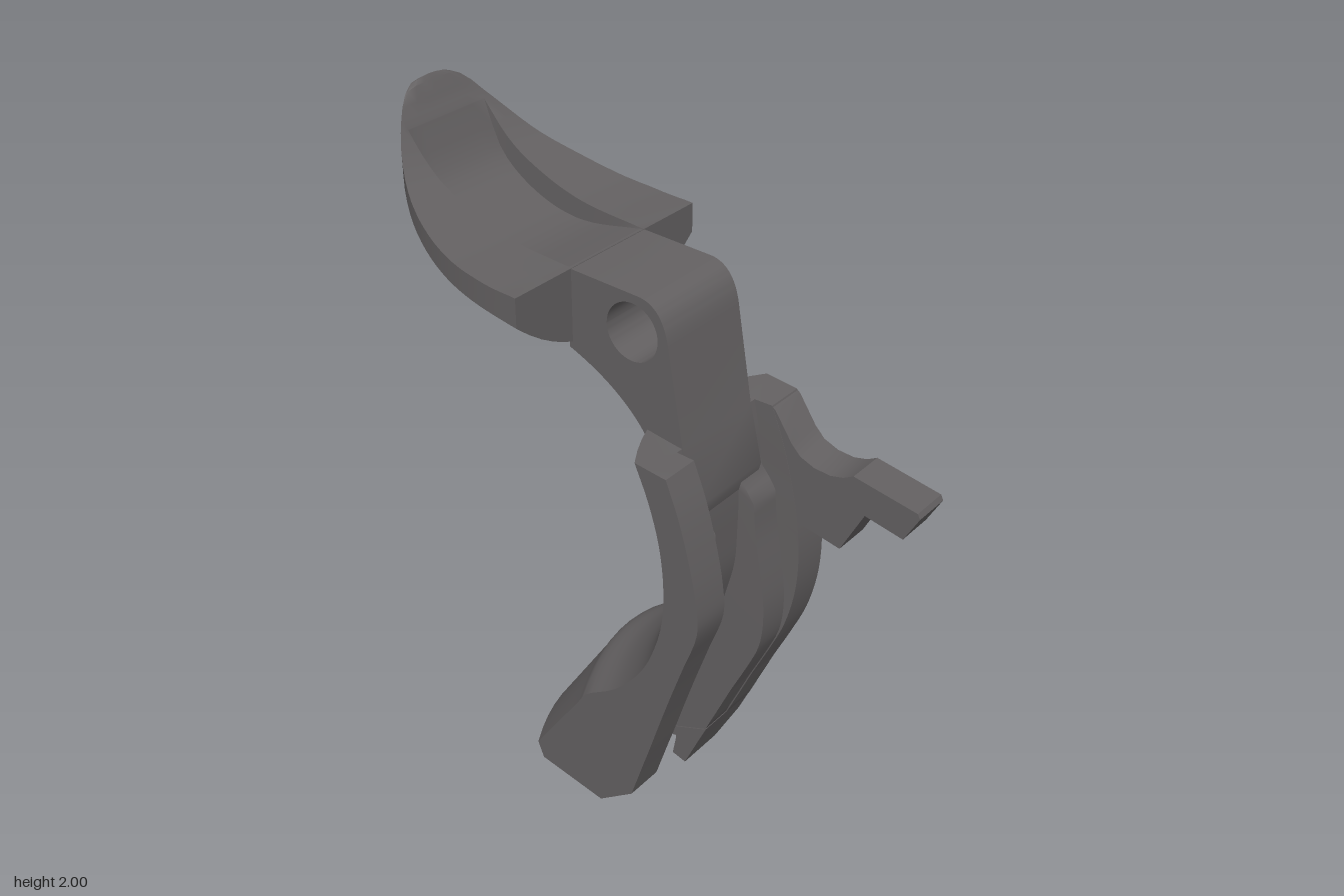
import * as THREE from 'three';
import { toCreasedNormals } from 'three/addons/utils/BufferGeometryUtils.js';

const material = new THREE.MeshStandardMaterial({ color: 0x636061 });
const { lerp, smoothstep } = THREE.MathUtils;

// Smooth interpolation through a list of points, sampled evenly between them
const steps = 4;
function refine(points) {
  const curve = new THREE.CatmullRomCurve3(points.map(([x, y]) => new THREE.Vector3(x, y, 0)), false, 'centripetal');
  const n = (points.length - 1) * steps;
  return Array.from({ length: n + 1 }, (_, i) => curve.getPoint(i / n));
}

// Skin a list of equal-length rings; flat(p) projects a ring to 2D for its end caps
function loft(rings, flat, crease) {
  const out = [];
  const tri = (a, b, c) => out.push(...a, ...b, ...c);
  const n = rings[0].length;
  for (let i = 0; i < rings.length - 1; i++) {
    for (let j = 0; j < n; j++) {
      const k = (j + 1) % n, A = rings[i], B = rings[i + 1];
      tri(A[j], A[k], B[k]);
      tri(A[j], B[k], B[j]);
    }
  }
  [[rings[0], false], [rings[rings.length - 1], true]].forEach(([ring, last]) => {
    const pts = ring.map((p) => new THREE.Vector2(...flat(p)));
    const ccw = THREE.ShapeUtils.area(pts) > 0;
    for (const f of THREE.ShapeUtils.triangulateShape(pts.slice(), [])) {
      const same = (THREE.ShapeUtils.area(f.map((i) => pts[i])) > 0) === ccw;
      const [a, b, c] = (same === last ? f : [f[0], f[2], f[1]]).map((i) => ring[i]);
      tri(a, b, c);
    }
  });
  // Turn the skin outward if its enclosed volume is negative
  let volume = 0;
  const v = (i) => new THREE.Vector3(out[i], out[i + 1], out[i + 2]);
  for (let i = 0; i < out.length; i += 9) volume += v(i).dot(v(i + 3).cross(v(i + 6)));
  if (volume < 0) {
    for (let i = 0; i < out.length; i += 9) {
      for (let k = 0; k < 3; k++) [out[i + 3 + k], out[i + 6 + k]] = [out[i + 6 + k], out[i + 3 + k]];
    }
  }
  const g = new THREE.BufferGeometry();
  g.setAttribute('position', new THREE.Float32BufferAttribute(out, 3));
  return toCreasedNormals(g, crease);
}

// Side outline extruded between two z positions
function plate(shape, z0, z1) {
  const g = new THREE.ExtrudeGeometry(shape, { depth: z1 - z0, bevelEnabled: false, curveSegments: 16 });
  g.translate(0, 0, z0);
  return toCreasedNormals(g, 0.6);
}

// Curved grip: convex front, two rear walls and a stepped channel between them
function gripGeometry() {
  const bottom = (curve, end) => [...refine(curve), new THREE.Vector3(...end, 0)];
  const front = bottom([[0.088, 1.305], [0.15, 1.2], [0.18, 1.08], [0.19, 0.95], [0.184, 0.84], [0.16, 0.73],
    [0.11, 0.64], [0.03, 0.565], [-0.06, 0.515], [-0.09, 0.468], [-0.27, 0.185]], [-0.25, 0.13]);
  const side = bottom([[0.182, 1.3], [0.225, 1.2], [0.26, 1.08], [0.275, 0.95], [0.27, 0.84], [0.245, 0.74],
    [0.2, 0.64], [0.11, 0.53], [0, 0.45], [-0.027, 0.409], [-0.19, 0.165]], [-0.17, 0.115]);
  const rearR = bottom([[0.28, 1.29], [0.32, 1.19], [0.355, 1.07], [0.38, 0.95], [0.39, 0.83], [0.383, 0.72],
    [0.355, 0.6], [0.31, 0.49], [0.25, 0.36], [0.233, 0.32], [0.168, 0.17]], [0.05, 0.08]);
  const rearL = bottom([[0.28, 1.29], [0.32, 1.19], [0.355, 1.07], [0.38, 0.95], [0.385, 0.86], [0.34, 0.72],
    [0.3, 0.6], [0.265, 0.49], [0.225, 0.36], [0.212, 0.32], [0.165, 0.17]], [0.05, 0.08]);
  const floor = bottom([[0.225, 1.29], [0.245, 1.19], [0.255, 1.07], [0.255, 0.95], [0.25, 0.83], [0.225, 0.72],
    [0.19, 0.6], [0.14, 0.49], [0.08, 0.36], [0.055, 0.32], [-0.03, 0.165]], [-0.07, 0.1]);
  const rings = front.map((f, i) => {
    const t = i / (front.length - 1);
    const rise = smoothstep(t, 0.16, 0.22);
    const lipL = floor[i].clone().lerp(rearL[i], 0.45 * rise);
    const lipR = floor[i].clone().lerp(rearR[i], rise * lerp(0.45, 0.98, smoothstep(t, 0.25, 0.65)));
    const at = (p, z) => [p.x, p.y, z];
    const ring = [];
    for (let k = -6; k <= 6; k++) ring.push(at(side[i].clone().lerp(f, 1 - (k / 6) ** 2), 0.28 * k / 6));
    ring.push(at(rearL[i], 0.28), at(rearL[i], 0.167), at(lipL, 0.165), at(lipL, 0.102), at(floor[i], 0.1),
      at(floor[i], -0.065), at(lipR, -0.067), at(lipR, -0.165), at(rearR[i], -0.167), at(rearR[i], -0.28));
    return ring;
  });
  return loft(rings, (p) => [p[2], p[0]], 0.6);
}

// Look up y for x in a refined profile
function heightAt(profile, x) {
  for (let i = 0; i < profile.length - 1; i++) {
    const a = profile[i], b = profile[i + 1];
    if (x <= b.x) return lerp(a.y, b.y, THREE.MathUtils.clamp((x - a.x) / (b.x - a.x || 1), 0, 1));
  }
  return profile[profile.length - 1].y;
}

// Upturned spoon-shaped paddle with a domed tip and a recessed pocket
function paddleGeometry() {
  const top = refine([[-0.748, 1.975], [-0.735, 2], [-0.7, 1.93], [-0.6, 1.81], [-0.5, 1.75], [-0.35, 1.7], [-0.13, 1.68]]);
  const under = refine([[-0.748, 1.93], [-0.74, 1.85], [-0.7, 1.75], [-0.6, 1.645], [-0.45, 1.56], [-0.3, 1.505], [-0.13, 1.45]]);
  const pocket = refine([[-0.68, 1.9], [-0.62, 1.765], [-0.5, 1.68], [-0.35, 1.645], [-0.13, 1.68]]);
  const width = (x) => 0.35 * Math.pow(1 - Math.pow(Math.max(0, -0.15 - x) / 0.6, 2.3), 0.52);
  const xs = [-0.748, -0.745, -0.74, -0.735, -0.725, -0.71, -0.695, -0.681, -0.68];
  for (let i = 1; i <= 22; i++) xs.push(lerp(-0.68, -0.13, i / 22));
  const rings = xs.map((x) => {
    const w = width(x);
    const t = heightAt(top, x), b = heightAt(under, x);
    const f = x < -0.6805 ? t : Math.min(t, heightAt(pocket, x));
    const p = Math.min(0.143, w * 0.9);
    const domed = (y, z) => [x, Math.min(y, 2 - 2.6 * z * z), z];
    const edge = Math.min(t - (t - b) * 0.36, domed(2, w)[1] - 0.01);
    const ring = [domed(t, w), domed(t, (w + p) / 2), domed(t, p)];
    for (let k = 3; k >= -3; k--) ring.push(domed(f, p * 0.99 * k / 3));
    ring.push(domed(t, -p), domed(t, -(w + p) / 2), domed(t, -w));
    for (let k = -8; k <= 8; k++) ring.push([x, lerp(b, edge, Math.abs(k / 8) ** 2.1), w * k / 8]);
    return ring;
  });
  return loft(rings, (p) => [p[2], p[1]], 0.6);
}

export function createModel() {
  const group = new THREE.Group();
  const add = (name, geometry) => {
    const mesh = new THREE.Mesh(geometry, material);
    mesh.name = name;
    group.add(mesh);
  };

  add('grip', gripGeometry());
  add('paddle', paddleGeometry());

  // Neck in two halves that meet around the pivot hole
  const pivotY = 1.567;
  const upper = new THREE.Shape();
  upper.moveTo(-0.14, pivotY);
  upper.lineTo(-0.14, 1.679);
  upper.lineTo(0.09, 1.672);
  upper.quadraticCurveTo(0.16, 1.665, 0.178, pivotY);
  upper.absarc(0.065, pivotY, 0.081, 0, Math.PI, false);
  add('neckTop', plate(upper, -0.145, 0.145));

  const lower = new THREE.Shape();
  lower.moveTo(-0.14, 1.455);
  lower.lineTo(-0.14, pivotY);
  lower.absarc(0.065, pivotY, 0.081, Math.PI, Math.PI * 2, false);
  lower.lineTo(0.178, pivotY);
  lower.lineTo(0.227, 1.29);
  lower.lineTo(0.268, 1.12);
  lower.lineTo(0.255, 1.07);
  lower.lineTo(0.215, 1.07);
  lower.lineTo(0.175, 1.15);
  lower.quadraticCurveTo(0.135, 1.255, 0.092, 1.305);
  lower.quadraticCurveTo(0.01, 1.4, -0.14, 1.455);
  add('neckStem', plate(lower, -0.145, 0.145));

  // Hooked prong on the back wall
  const prong = [[0.275, 1.29], [0.29, 1.28], [0.345, 1.2], [0.375, 1.17], [0.42, 1.153], [0.47, 1.15],
    [0.51, 1.16], [0.54, 1.177], [0.735, 1.145], [0.743, 1.13], [0.7, 1.05], [0.583, 1.072], [0.515, 0.936],
    [0.37, 0.963], [0.33, 1.05]];
  add('prong', plate(new THREE.Shape(prong.map((p) => new THREE.Vector2(...p))), -0.281, -0.168));

  // Foot tab with a chamfered outer corner
  const tab = [[0.168, 0.172, 0.05, 0.12], [0.132, 0.09, 0.058, 0.08], [0.093, 0, 0.046, 0.012]];
  add('footTab', loft(tab.map(([x1, y1, x0, y0], i) => {
    const z = [-0.28, -0.28, -0.215][i];
    return [[x1, y1, -0.063], [x0, y0, -0.063], [x0, y0, z], [x1, y1, z]];
  }), (p) => [p[0], p[2]], 0.3));

  return group;
}
